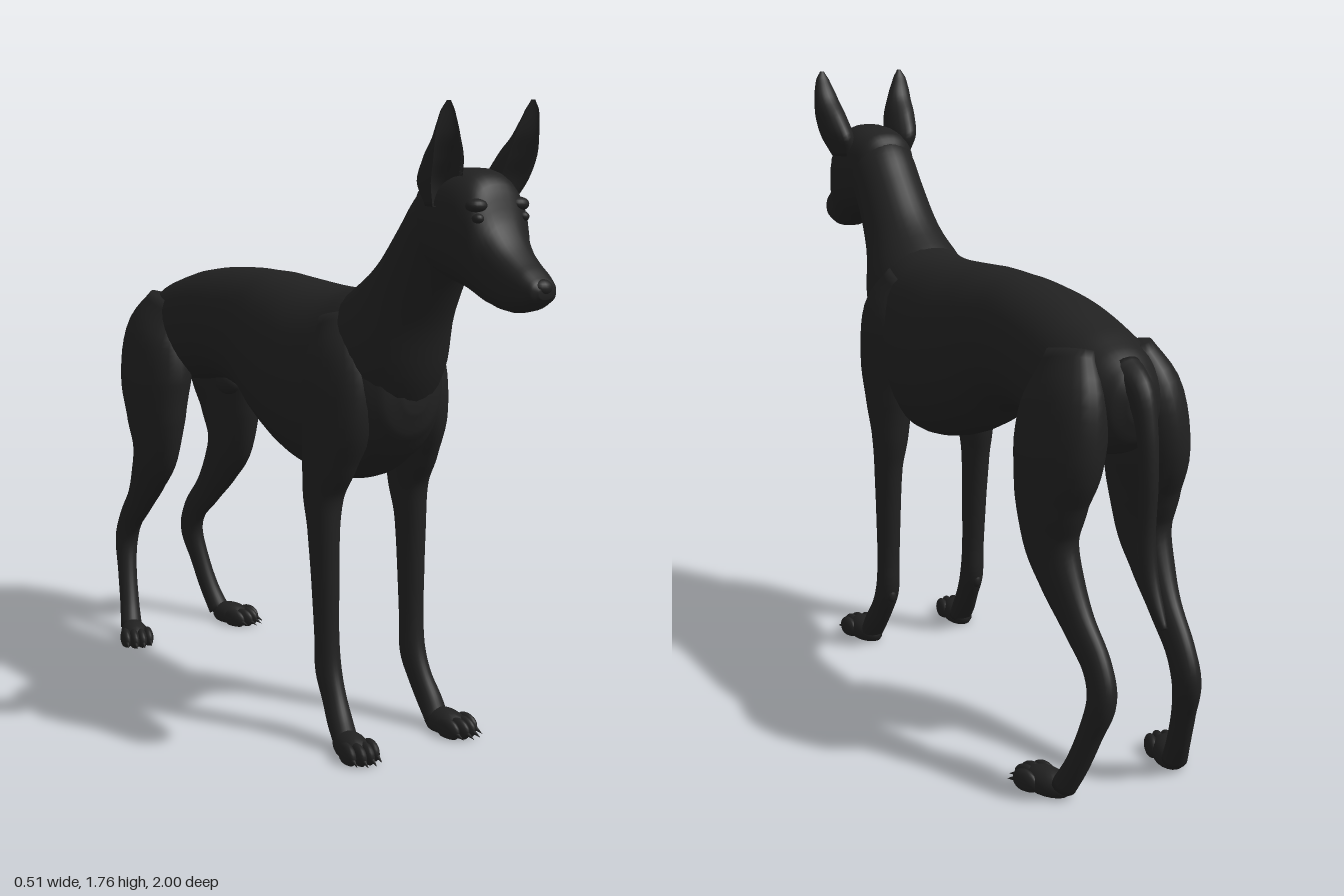
import * as THREE from 'three';

const coat = new THREE.MeshStandardMaterial({ color: 0x212121 });
coat.name = 'black coat';

// Skin a smooth tube over keys [x, y, z, halfWidth, halfDepth]; rings are superellipses.
function loft(name, keys, { axis = null, power = 2, cup = 0, sides = 28, steps = 5 } = {}) {
  const path = new THREE.CatmullRomCurve3(keys.map(k => new THREE.Vector3(k[0], k[1], k[2])));
  const size = new THREE.CatmullRomCurve3(keys.map(k => new THREE.Vector3(k[3], k[4], 0)), false, 'catmullrom', 0.4);
  const rows = (keys.length - 1) * steps;
  const pos = [], index = [];
  const bend = v => Math.sign(v) * Math.pow(Math.abs(v), 2 / power);
  for (let i = 0; i <= rows; i++) {
    const t = i / rows, c = path.getPoint(t), r = size.getPoint(t);
    const T = axis ? axis.clone() : path.getTangent(t);
    const S = new THREE.Vector3(1, 0, 0).addScaledVector(T, -T.x).normalize();
    const U = new THREE.Vector3().crossVectors(T, S);
    for (let j = 0; j < sides; j++) {
      const a = j / sides * Math.PI * 2;
      let u = bend(Math.sin(a));
      if (cup && u < 0) u *= -cup;
      const p = c.clone().addScaledVector(S, bend(Math.cos(a)) * Math.max(r.x, 0.002))
        .addScaledVector(U, u * Math.max(r.y, 0.002));
      pos.push(p.x, p.y, p.z);
    }
  }
  for (let i = 0; i < rows; i++) for (let j = 0; j < sides; j++) {
    const a = i * sides + j, b = i * sides + (j + 1) % sides;
    index.push(a, b, b + sides, a, b + sides, a + sides);
  }
  // Close both ends
  const first = keys[0], last = keys[keys.length - 1], n = (rows + 1) * sides;
  pos.push(first[0], first[1], first[2], last[0], last[1], last[2]);
  for (let j = 0; j < sides; j++) {
    const k = (j + 1) % sides;
    index.push(n, k, j, n + 1, rows * sides + j, rows * sides + k);
  }
  const g = new THREE.BufferGeometry();
  g.setAttribute('position', new THREE.Float32BufferAttribute(pos, 3));
  g.setIndex(index);
  g.computeVertexNormals();
  const mesh = new THREE.Mesh(g, coat);
  mesh.name = name;
  return mesh;
}

// Ellipsoid, optionally flattened where it would sink below the ground
function blob(name, x, y, z, rx, ry, rz, grounded = false) {
  const g = new THREE.SphereGeometry(1, 18, 12).scale(rx, ry, rz).translate(x, y, z);
  if (grounded) {
    const p = g.attributes.position;
    for (let i = 0; i < p.count; i++) p.setY(i, Math.max(0, p.getY(i)));
    g.computeVertexNormals();
  }
  const mesh = new THREE.Mesh(g, coat);
  mesh.name = name;
  return mesh;
}

// Paw with four toes and claws, heel at the origin, pointing along +z
function paw(name, x, z, turn) {
  const group = new THREE.Group();
  group.name = name;
  group.add(blob('pad', 0, 0.022, 0.055, 0.043, 0.042, 0.075, true));
  [-1.5, -0.5, 0.5, 1.5].forEach(k => {
    const reach = 0.132 - Math.abs(k) * 0.016;
    group.add(blob('toe', k * 0.024, 0.022, reach - 0.01, 0.017, 0.032, 0.042, true));
    const claw = new THREE.Mesh(new THREE.ConeGeometry(0.008, 0.036, 8), coat);
    claw.name = 'claw';
    claw.rotation.x = Math.PI / 2 + 0.35;
    claw.position.set(k * 0.025, 0.014, reach + 0.036);
    group.add(claw);
  });
  group.position.set(x, 0, z);
  group.rotation.y = turn;
  return group;
}

// Keys given as [z, bottom, top, halfWidth]
const slices = list => list.map(([z, b, t, w]) => [0, (b + t) / 2, z, w, (t - b) / 2]);
const mirror = (keys, s) => keys.map(([x, ...rest]) => [x * s, ...rest]);

export function createModel() {
  const dog = new THREE.Group();
  dog.name = 'dog';
  const Z = new THREE.Vector3(0, 0, 1), Y = new THREE.Vector3(0, 1, 0);

  dog.add(loft('torso', slices([
    [-0.865, 0.98, 1.06, 0.03], [-0.84, 0.92, 1.105, 0.075], [-0.78, 0.88, 1.15, 0.115],
    [-0.7, 0.87, 1.185, 0.14], [-0.55, 0.885, 1.228, 0.15], [-0.4, 0.907, 1.25, 0.15],
    [-0.25, 0.88, 1.258, 0.15], [-0.1, 0.79, 1.257, 0.175], [0.05, 0.732, 1.247, 0.193],
    [0.2, 0.71, 1.245, 0.187], [0.32, 0.735, 1.26, 0.175], [0.42, 0.8, 1.22, 0.145],
    [0.475, 0.87, 1.13, 0.1], [0.498, 0.94, 1.05, 0.04],
  ]), { axis: Z, power: 2.2, sides: 36 }));

  dog.add(loft('neck', [
    [0, 0.97, 0.26, 0.15, 0.2], [0, 1.115, 0.375, 0.155, 0.18], [0, 1.262, 0.483, 0.115, 0.124],
    [0, 1.38, 0.567, 0.104, 0.108], [0, 1.46, 0.635, 0.102, 0.108], [0, 1.5, 0.68, 0.08, 0.08],
  ], { sides: 32 }));

  dog.add(loft('head', slices([
    [0.555, 1.42, 1.53, 0.05], [0.6, 1.345, 1.572, 0.095], [0.68, 1.312, 1.59, 0.112],
    [0.76, 1.292, 1.588, 0.11], [0.81, 1.27, 1.555, 0.1], [0.85, 1.257, 1.46, 0.08],
    [0.9, 1.25, 1.4, 0.066], [0.95, 1.26, 1.363, 0.056], [0.982, 1.278, 1.338, 0.042],
    [0.995, 1.292, 1.32, 0.022],
  ]), { axis: Z, power: 2.4, sides: 32 }));
  dog.add(blob('nose', 0, 1.318, 0.975, 0.03, 0.022, 0.025));

  dog.add(loft('tail', [
    [0, 1.09, -0.79, 0.05, 0.05], [0, 1.055, -0.858, 0.036, 0.042], [0, 0.98, -0.893, 0.028, 0.03],
    [0, 0.85, -0.909, 0.024, 0.026], [0, 0.7, -0.907, 0.022, 0.024], [0, 0.6, -0.925, 0.021, 0.023],
    [0, 0.53, -0.96, 0.017, 0.018], [0, 0.487, -0.993, 0.008, 0.009],
  ], { sides: 16 }));
  dog.add(blob('groin', 0, 0.888, -0.46, 0.032, 0.04, 0.055));

  // Paired parts
  for (const s of [1, -1]) {
    const side = s > 0 ? 'left' : 'right';

    dog.add(loft(side + 'Ear', mirror([
      [0.095, 1.5, 0.72, 0.035, 0.06], [0.108, 1.56, 0.745, 0.048, 0.1], [0.118, 1.62, 0.765, 0.047, 0.08],
      [0.127, 1.68, 0.772, 0.037, 0.03], [0.133, 1.73, 0.779, 0.022, 0.014], [0.133, 1.757, 0.782, 0.006, 0.004],
    ], s), { axis: Y, cup: 0.45, sides: 20 }));
    dog.add(blob(side + 'Brow', s * 0.066, 1.505, 0.81, 0.03, 0.018, 0.024));
    dog.add(blob(side + 'Eye', s * 0.072, 1.475, 0.822, 0.016, 0.013, 0.016));

    dog.add(loft(side + 'FrontLeg', mirror([
      [0.09, 1.18, 0.27, 0.05, 0.07], [0.112, 1.06, 0.305, 0.085, 0.125], [0.125, 0.92, 0.315, 0.078, 0.13],
      [0.138, 0.8, 0.295, 0.063, 0.1], [0.145, 0.7, 0.277, 0.053, 0.067], [0.149, 0.6, 0.283, 0.041, 0.053],
      [0.148, 0.45, 0.29, 0.036, 0.044], [0.147, 0.3, 0.296, 0.033, 0.038], [0.147, 0.2, 0.305, 0.034, 0.042],
      [0.15, 0.13, 0.337, 0.032, 0.038], [0.156, 0.07, 0.375, 0.035, 0.036], [0.158, 0.025, 0.405, 0.036, 0.03],
    ], s)));
    dog.add(blob(side + 'CarpalPad', s * 0.148, 0.185, 0.274, 0.014, 0.022, 0.014));
    dog.add(paw(side + 'FrontPaw', s * 0.157, 0.385, s * 0.13));

    dog.add(loft(side + 'HindLeg', mirror([
      [0.08, 1.13, -0.67, 0.055, 0.09], [0.11, 1.01, -0.695, 0.09, 0.15], [0.128, 0.88, -0.69, 0.09, 0.165],
      [0.138, 0.76, -0.675, 0.077, 0.135], [0.14, 0.65, -0.68, 0.06, 0.105], [0.137, 0.56, -0.728, 0.05, 0.077],
      [0.13, 0.46, -0.805, 0.038, 0.055], [0.124, 0.375, -0.885, 0.034, 0.047], [0.126, 0.3, -0.914, 0.034, 0.046],
      [0.14, 0.2, -0.887, 0.03, 0.035], [0.155, 0.1, -0.847, 0.031, 0.032], [0.17, 0.03, -0.81, 0.035, 0.032],
    ], s)));
    dog.add(paw(side + 'HindPaw', s * 0.17, -0.808, s * 0.32));
  }
  return dog;
}
